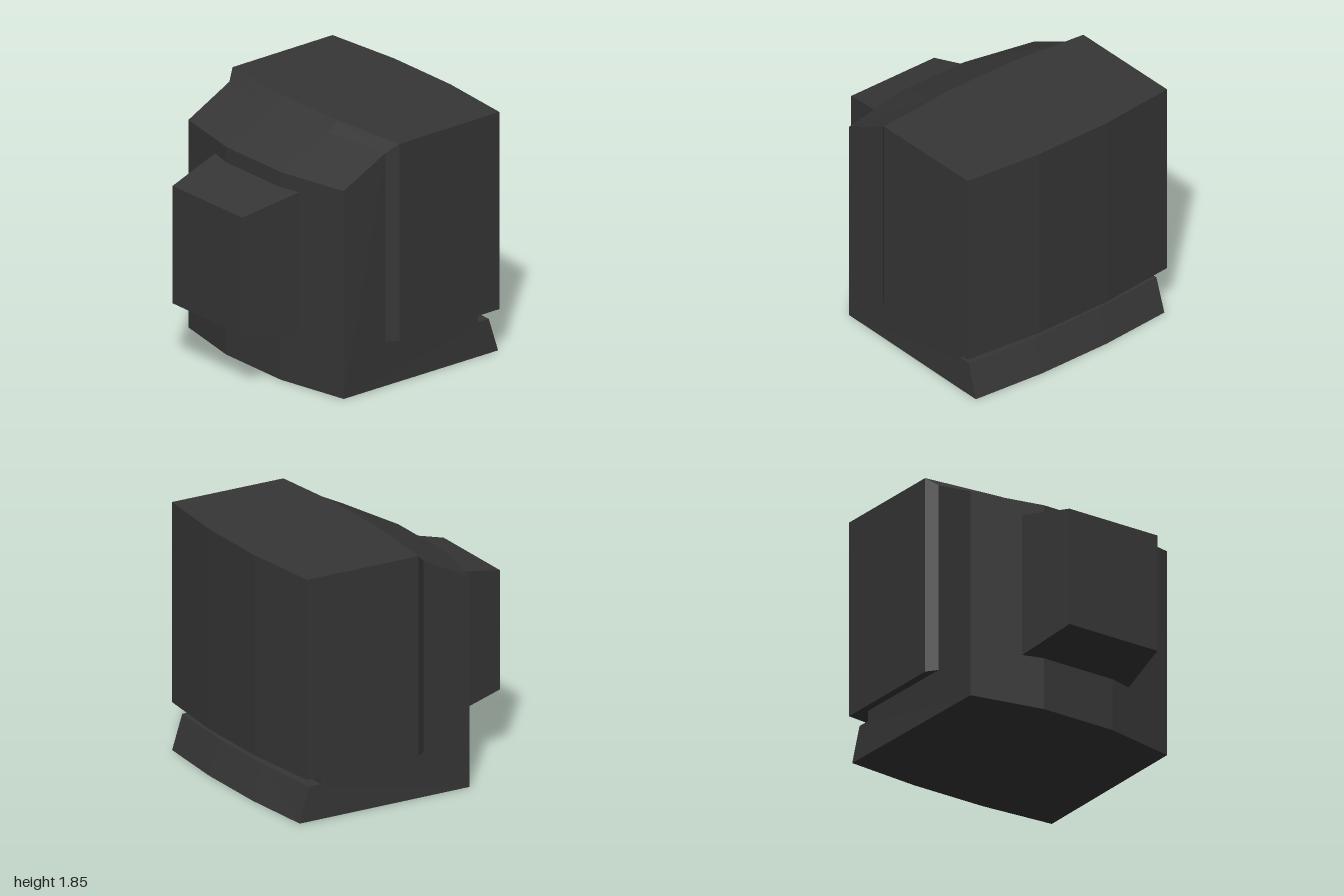
import * as THREE from 'three';

const charcoal = new THREE.MeshStandardMaterial({ color: 0x363636 });
charcoal.name = 'charcoal';

// Joins closed side profiles, ordered from -x to +x, and caps both ends.
// Each profile runs front bottom, back bottom, back top, front top.
function loft(name, columns) {
  const pos = [];
  const tri = (a, b, c) => pos.push(...a, ...b, ...c);
  const n = columns[0].length;
  for (let i = 0; i < columns.length - 1; i++) {
    for (let k = 0; k < n; k++) {
      const j = (k + 1) % n;
      const a = columns[i][k], b = columns[i][j];
      const c = columns[i + 1][k], d = columns[i + 1][j];
      tri(a, b, d);
      tri(a, d, c);
    }
  }
  const left = columns[columns.length - 1], right = columns[0];
  const outline = left.map(([, y, z]) => new THREE.Vector2(-z, y));
  for (const [a, b, c] of THREE.ShapeUtils.triangulateShape(outline, [])) {
    tri(left[a], left[b], left[c]);
    tri(right[a], right[c], right[b]);
  }
  const geometry = new THREE.BufferGeometry();
  geometry.setAttribute('position', new THREE.Float32BufferAttribute(pos, 3));
  geometry.computeVertexNormals();
  const mesh = new THREE.Mesh(geometry, charcoal);
  mesh.name = name;
  return mesh;
}

// Mirrors profiles given from the outer edge inwards, then lofts across.
function mirroredLoft(name, half) {
  const flipped = half.map(col => col.map(([x, y, z]) => [-x, y, z]));
  return loft(name, [...flipped, ...half.slice().reverse()]);
}

export function createModel() {
  const group = new THREE.Group();
  group.name = 'housing';

  // Main body with sloped shoulder and flared foot: y, corner z, centre z, corner x
  const profile = [
    [0, 0.46, 0.575, 0.857],
    [0, -0.95, -0.995, 0.87],
    [0.26, -0.87, -0.91, 0.864],
    [0.26, -0.77, -0.77, 0.864],
    [0.4, -0.77, -0.77, 0.862],
    [1.78, -0.1, -0.1, 0.858],
    [1.78, 0.08, 0.14, 0.859],
    [1.59, 0.46, 0.575, 0.855],
  ];
  group.add(mirroredLoft('body', [
    profile.map(([y, z, , x]) => [x, y, z]),
    profile.map(([y, , z]) => [0.3, y, z]),
  ]));

  // Wider rear hood with bevelled front corners and bowed back
  const hoodColumn = (x, front, lip, lipY, back) => [
    [x, 0.34, lip], [x, 0.34, back], [x, 1.85, back], [x, 1.85, front], [x, lipY, lip],
  ];
  group.add(mirroredLoft('rearHood', [
    hoodColumn(0.92, 0, 0, 1.85, -0.92),
    hoodColumn(0.86, 0.006, 0.08, 1.78, -0.926),
    hoodColumn(0.31, 0.06, 0.14, 1.78, -0.98),
  ]));

  // Tapered block standing out from the front
  group.add(mirroredLoft('frontBlock', [[
    [0.383, 0.48, 1], [0.472, 0.382, 0.5], [0.472, 1.489, 0.5], [0.383, 1.38, 1],
  ]]));

  return group;
}
